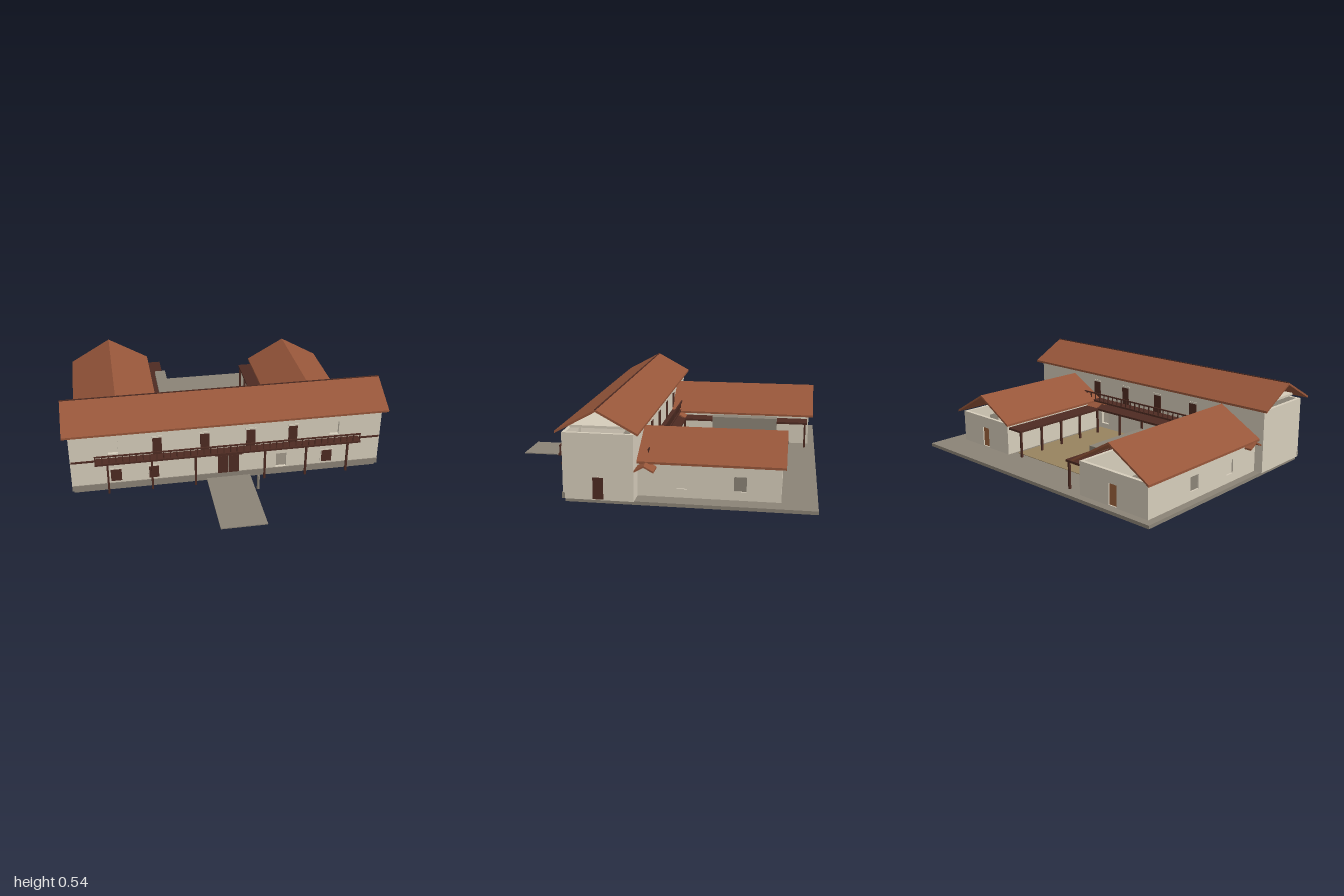
import * as THREE from 'three';

const mat = (name, color, side = THREE.FrontSide) => {
  const m = new THREE.MeshStandardMaterial({ color, side });
  m.name = name;
  return m;
};

export function createModel() {
  const root = new THREE.Group();
  root.name = 'courtyardHouse';
  const plaster = mat('plaster', 0xd6cdbb);
  const stone = mat('stone', 0x8b8376);
  const sand = mat('sand', 0x98835f);
  const wood = mat('darkWood', 0x4e2b22);
  const tile = mat('roofTile', 0x97563a);
  const timber = mat('doorTimber', 0x9c623c);

  const add = (name, geo, m, parent = root) => {
    const mesh = new THREE.Mesh(geo, m);
    mesh.name = name;
    parent.add(mesh);
    return mesh;
  };
  // Box given by its limits on each axis
  const box = (name, m, x0, x1, y0, y1, z0, z1, parent = root) => {
    const g = new THREE.BoxGeometry(x1 - x0, y1 - y0, z1 - z0);
    g.translate((x0 + x1) / 2, (y0 + y1) / 2, (z0 + z1) / 2);
    return add(name, g, m, parent);
  };
  // Thin wall with openings [a, b, bottom, top]; runs along x, or along z when alongZ
  const T = 0.02;
  const wall = (name, a, b, y0, y1, openings, at, alongZ = false) => {
    const rect = (C, l, r, d, u) => {
      const s = new C();
      s.moveTo(l, d); s.lineTo(r, d); s.lineTo(r, u); s.lineTo(l, u); s.closePath();
      return s;
    };
    const shape = rect(THREE.Shape, a, b, y0, y1);
    for (const o of openings) shape.holes.push(rect(THREE.Path, ...o));
    const g = new THREE.ExtrudeGeometry(shape, { depth: T, bevelEnabled: false });
    if (alongZ) g.rotateY(-Math.PI / 2).translate(at + T, 0, 0);
    else g.translate(0, 0, at);
    return add(name, g, plaster);
  };
  // Chevron roof: ridge along z by default, along x when alongX
  const roof = (name, m, c, half, eave, ridge, from, to, alongX = false, t = 0.013) => {
    const s = new THREE.Shape();
    s.moveTo(-half, eave - t); s.lineTo(0, ridge - t); s.lineTo(half, eave - t);
    s.lineTo(half, eave); s.lineTo(0, ridge); s.lineTo(-half, eave);
    s.closePath();
    const g = new THREE.ExtrudeGeometry(s, { depth: to - from, bevelEnabled: false });
    g.translate(0, 0, from);
    if (alongX) g.rotateY(Math.PI / 2).translate(0, 0, c);
    else g.translate(c, 0, 0);
    return add(name, g, m);
  };

  // Ground
  box('baseSlab', stone, -0.955, 0.955, 0, 0.02, -0.96, 0.43);
  box('courtyardFloor', sand, -0.38, 0.38, 0.02, 0.023, -0.7, 0.04);
  box('entrancePath', stone, -0.14, 0.135, 0.018, 0.024, 0.43, 0.955);
  box('frontPlinth', stone, -0.965, 0.965, 0.02, 0.055, 0.43, 0.446);

  // Main block walls
  const arches = [[-0.735, -0.675, 0.26, 0.35], [0.635, 0.695, 0.26, 0.35]];
  const passage = [0.3, 0.365, 0.056, 0.155];
  wall('frontWall', -0.965, 0.965, 0.02, 0.4, [...arches, passage], 0.42);
  wall('rearWall', -0.965, 0.965, 0.02, 0.4, [...arches, passage], 0.04);
  for (const s of [-1, 1]) wall('endWall', 0.06, 0.42, 0.02, 0.4, [], s * 0.955 - T / 2, true);
  box('atticFloor', plaster, -0.93, 0.93, 0.42, 0.434, 0.09, 0.4);
  roof('mainRoof', tile, 0.238, 0.23, 0.415, 0.54, -1, 1, true);
  box('ridgeTile', wood, -1, 1, 0.536, 0.542, 0.234, 0.242);

  // Doors and windows of the main block
  const panel = (name, m, x, w, y0, y1, z) =>
    box(name, m, x - w / 2, x + w / 2, y0, y1, z - 0.003, z + 0.003);
  for (const x of [-0.44, -0.15, 0.135, 0.4]) {
    for (const z of [0.441, 0.039]) {
      panel('balconyDoor', wood, x, 0.056, 0.228, 0.348, z);
      panel('balconyDoorLintel', plaster, x, 0.066, 0.348, 0.36, z);
    }
  }
  for (const [x, w] of [[-0.695, 0.066], [-0.465, 0.06], [0.625, 0.066]]) {
    panel('groundWindowFrame', plaster, x, w + 0.014, 0.063, 0.157, 0.441);
    panel('groundWindow', wood, x, w, 0.07, 0.15, 0.443);
  }
  for (const x of [-0.038, 0.03]) panel('entranceDoorLeaf', wood, x, 0.064, 0.055, 0.177, 0.444);
  box('entranceLintel', wood, -0.09, 0.082, 0.184, 0.197, 0.44, 0.456);
  box('endDoor', wood, 0.964, 0.968, 0.025, 0.15, 0.21, 0.27);
  box('endDoorFrame', plaster, 0.963, 0.966, 0.02, 0.158, 0.203, 0.277);

  // Balcony on the front and gallery on the courtyard side
  const gallery = (name, z0, z1, zr) => {
    const g = new THREE.Group();
    g.name = name;
    root.add(g);
    box('balconyDeck', wood, -0.82, 0.82, 0.222, 0.234, z0, z1, g);
    box('handrail', wood, -0.82, 0.82, 0.276, 0.284, zr - 0.004, zr + 0.004, g);
    for (let i = 0; i <= 40; i++) {
      const x = -0.815 + i * 0.04075;
      box('baluster', wood, x - 0.003, x + 0.003, 0.23, 0.28, zr - 0.003, zr + 0.003, g);
    }
    return g;
  };
  const front = gallery('frontBalcony', 0.44, 0.505, 0.495);
  gallery('courtyardGallery', -0.025, 0.04, -0.017);
  box('floorBand', wood, -0.96, 0.96, 0.215, 0.226, 0.44, 0.446);
  for (const x of [-0.745, -0.48, -0.215, 0.215, 0.475, 0.74])
    box('balconyPost', wood, x - 0.006, x + 0.006, 0.02, 0.225, 0.489, 0.501, front);

  // Two wings: roof centre, half width, ridge height, rear ends of roof and wall
  const wings = [
    { c: -0.66, half: 0.28, ridge: 0.39, zr: -0.945, zw: -0.915, s: -1 },
    { c: 0.627, half: 0.255, ridge: 0.372, zr: -0.785, zw: -0.76, s: 1 },
  ];
  for (const { c, half, ridge, zr, zw, s } of wings) {
    roof('wingRoof', tile, c, half, 0.228, ridge, zr, 0.04);
    const w = half - 0.03;
    const outer = c + s * w, inner = c - s * w;
    const wins = [[-0.24, -0.18, 0.07, 0.155], [-0.57, -0.5, 0.07, 0.155]];
    wall('wingOuterWall', zw, 0.04, 0.02, 0.22, wins, outer - (s > 0 ? T : 0), true);
    wall('wingInnerWall', zw, 0.04, 0.02, 0.22, [], inner - (s > 0 ? 0 : T), true);
    wall('wingEndWall', c - w + T, c + w - T, 0.02, 0.22, [[c - 0.03, c + 0.03, 0.025, 0.15]], zw);
    box('wingEndDoor', timber, c - 0.03, c + 0.03, 0.025, 0.15, zw + 0.008, zw + 0.014);
    const xo = outer - s * 0.012;
    box('wingShutter', plaster, xo - 0.003, xo + 0.003, 0.07, 0.155, -0.24, -0.18);
    box('wingWindow', stone, xo - 0.003, xo + 0.003, 0.07, 0.155, -0.57, -0.5);

    // Small link roof between wing and main block
    const link = s < 0 ? [-0.955, -0.31] : [0.31, 0.955];
    roof('linkRoof', tile, -0.013, 0.055, 0.195, 0.225, ...link, true, 0.01);

    // Lean-to porch along the courtyard
    const edge = s * 0.29, zp = s < 0 ? -0.905 : -0.75;
    const x0 = Math.min(edge, inner), x1 = Math.max(edge, inner);
    box('leanToRoof', wood, x0, x1, 0.183, 0.196, zp, 0.04);
    const n = 4;
    for (let i = 0; i <= n; i++) {
      const z = zp + 0.015 + (i / n) * (-0.08 - zp);
      const x = edge + s * 0.012;
      box('leanToPost', wood, x - 0.006, x + 0.006, 0.02, 0.185, z - 0.006, z + 0.006);
    }
  }
  box('rearLeanToRoof', wood, -0.4, 0.4, 0.183, 0.196, -0.07, 0.04);
  for (const x of [-0.1, 0.1])
    box('rearLeanToPost', wood, x - 0.006, x + 0.006, 0.02, 0.185, -0.064, -0.052);

  // Stone block in the courtyard
  box('courtyardStoneBlock', stone, -0.345, -0.27, 0.02, 0.22, -0.7, -0.26);

  // Marker stone beside the path, with a rounded cap
  const cyl = new THREE.CylinderGeometry(0.008, 0.009, 0.09, 10).translate(0.155, 0.06, 0.592);
  add('markerPost', cyl, stone);
  add('markerCap', new THREE.SphereGeometry(0.009, 10, 6).translate(0.155, 0.105, 0.592), stone);

  return root;
}
